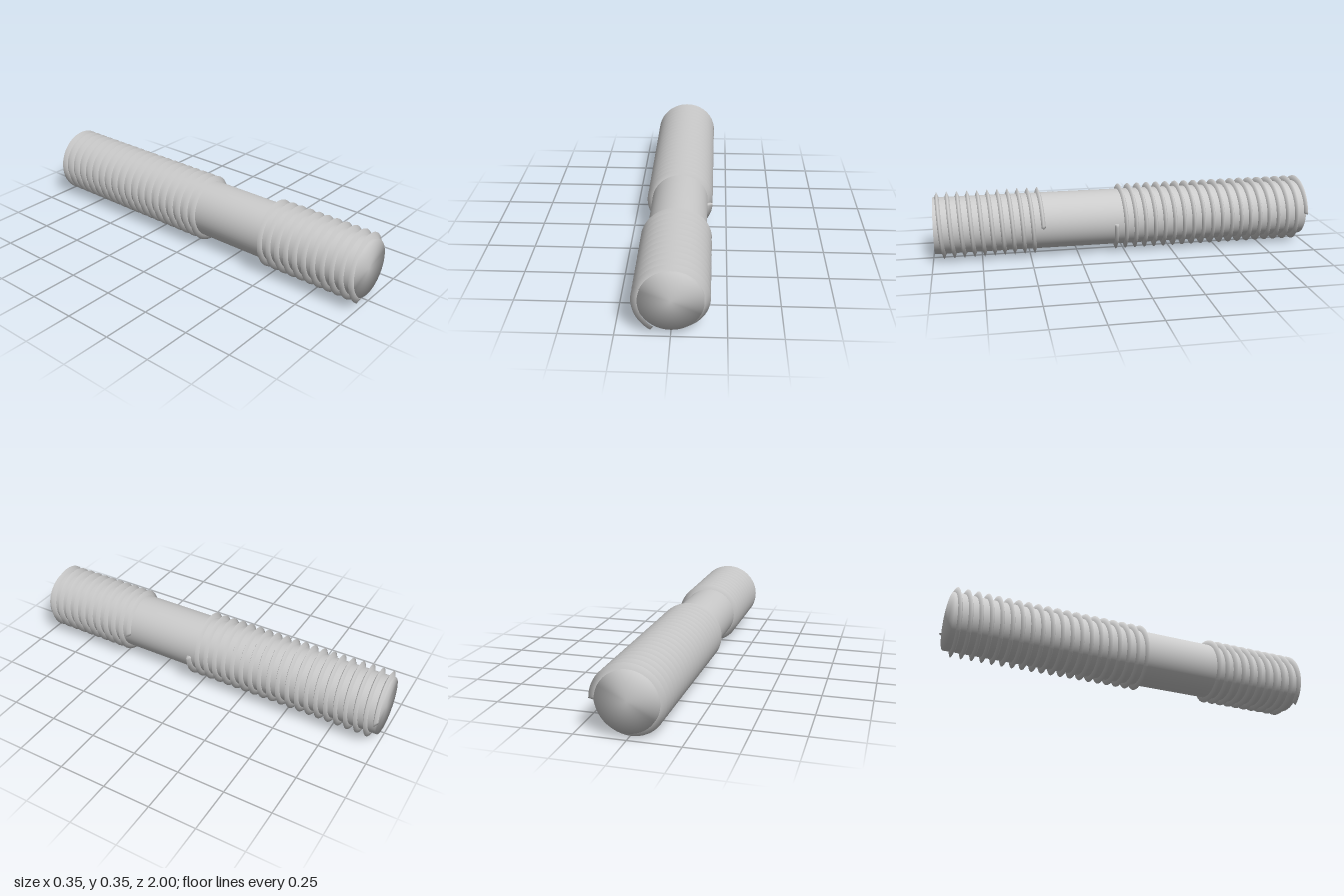
import * as THREE from 'three';

const CORE_R = 0.147;
const ROOT_R = 0.145; // slightly sunk into the core
const CREST_R = 0.174;
const HALF_WIDTH = 0.012;
const HALF_LENGTH = 0.988;
const STEPS_PER_TURN = 72;

const material = new THREE.MeshStandardMaterial({ color: 0xcccccc });

// Right-hand helical ridge with a triangular section, running from zStart back to zEnd
function threadGeometry(zStart, zEnd, startAngle, turns) {
  const section = [[ROOT_R, HALF_WIDTH], [CREST_R, 0], [ROOT_R, -HALF_WIDTH]];
  const steps = Math.round(turns * STEPS_PER_TURN);
  const positions = [];
  const indices = [];
  for (let i = 0; i <= steps; i++) {
    const t = i / steps;
    const angle = startAngle - t * turns * Math.PI * 2;
    const z = THREE.MathUtils.lerp(zStart, zEnd, t);
    for (const [r, dz] of section) {
      positions.push(r * Math.cos(angle), r * Math.sin(angle), z + dz);
    }
    if (i === steps) break;
    for (let j = 0; j < 2; j++) {
      const a = i * 3 + j;
      const b = a + 3;
      indices.push(a, b, a + 1, b, b + 1, a + 1);
    }
  }
  // Close both ends of the ridge
  const last = steps * 3;
  indices.push(0, 1, 2, last + 2, last + 1, last);

  const geometry = new THREE.BufferGeometry();
  geometry.setAttribute('position', new THREE.Float32BufferAttribute(positions, 3));
  geometry.setIndex(indices);
  geometry.computeVertexNormals();
  return geometry;
}

export function createModel() {
  const group = new THREE.Group();
  group.name = 'threadedStud';

  const add = (name, geometry) => {
    const mesh = new THREE.Mesh(geometry, material);
    mesh.name = name;
    mesh.position.y = CREST_R;
    group.add(mesh);
  };

  // Plain rod with flat ends, smoothly shaded over the rim
  const profile = [
    [0, -HALF_LENGTH], [CORE_R, -HALF_LENGTH], [CORE_R, HALF_LENGTH], [0, HALF_LENGTH],
  ].map(([x, y]) => new THREE.Vector2(x, y));
  add('core', new THREE.LatheGeometry(profile, 72).rotateX(Math.PI / 2));

  // Short thread at the front, long thread at the back; both run out on the +x side
  const frontStart = THREE.MathUtils.degToRad(239);
  add('frontThread', threadGeometry(0.988, 0.436, frontStart, 10 + 239 / 360));
  add('backThread', threadGeometry(0.055, -0.988, 0, 20));

  return group;
}
